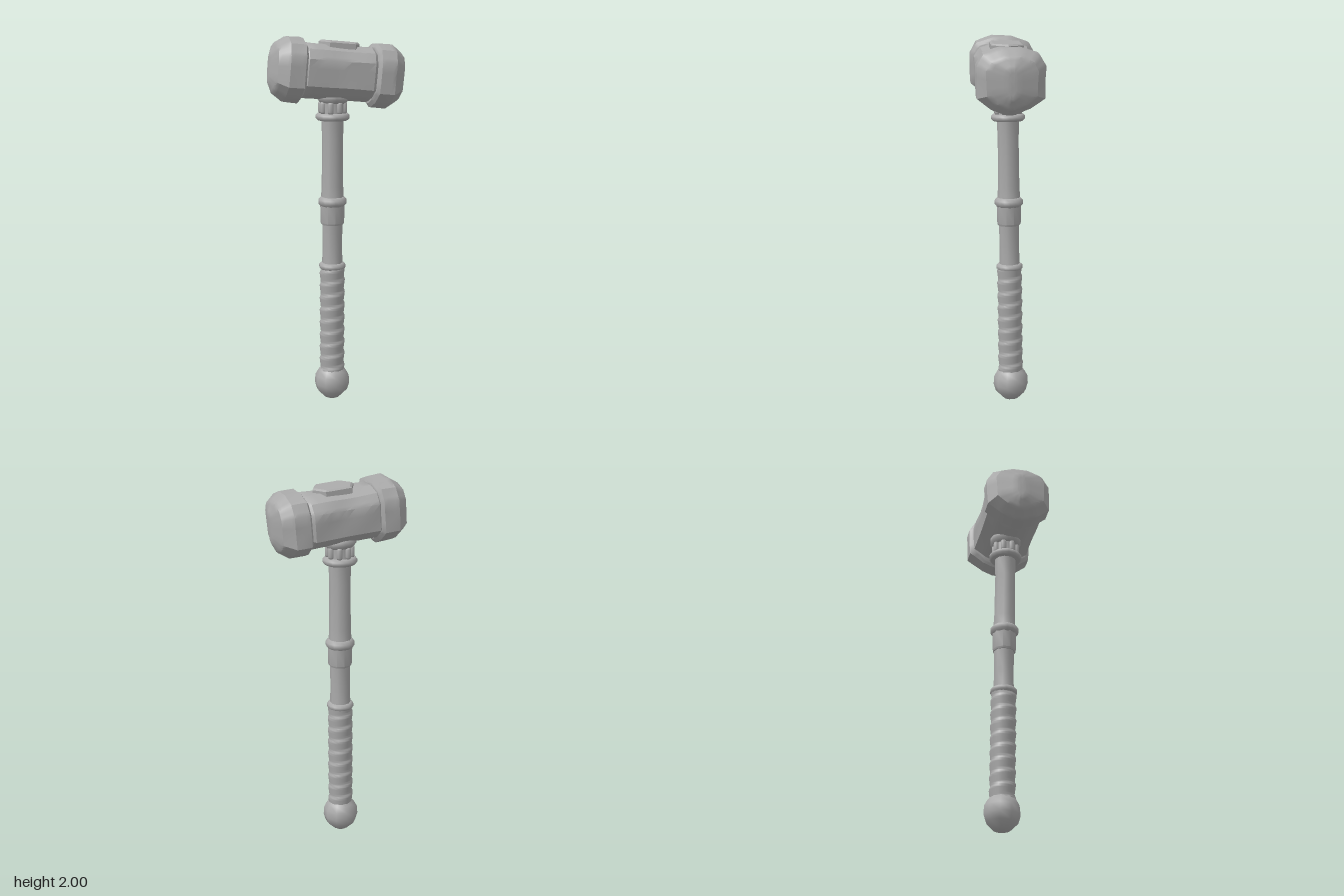
import * as THREE from 'three';
import { toCreasedNormals } from 'three/addons/utils/BufferGeometryUtils.js';

const stone = new THREE.MeshStandardMaterial({ color: 0xaaaaaa });
stone.name = 'grey stone';

function addMesh(parent, name, geometry, crease = 0.6) {
  const mesh = new THREE.Mesh(toCreasedNormals(geometry, crease), stone);
  mesh.name = name;
  parent.add(mesh);
  return mesh;
}

// Right half of the head's cross-section as [z, y], bottom to top
const half = [[0.12, -1], [0.56, -0.82], [0.97, -0.5], [1, 0.45], [0.8, 0.8], [0.3, 0.98]];
const section = [...half, ...half.map(([z, y]) => [-z, y]).reverse()];
const lerp = THREE.MathUtils.lerp;

// Insert evenly spaced steps between neighbouring entries
function subdivide(rows, steps, closed) {
  const out = [];
  const count = closed ? rows.length : rows.length - 1;
  for (let i = 0; i < count; i++) {
    const a = rows[i], b = rows[(i + 1) % rows.length];
    for (let s = 0; s < steps; s++) out.push(a.map((v, k) => lerp(v, b[k], s / steps)));
  }
  if (!closed) out.push(rows[rows.length - 1]);
  return out;
}

// Loft the section along x through rings of [x, halfDepth, halfHeight], with worn dents
function stoneLoft(rings, phase) {
  const ringRows = subdivide(rings, 4, false), loop = subdivide(section, 3, true);
  const positions = [], index = [], n = loop.length;
  ringRows.forEach(([x, hz, hy]) => loop.forEach(([z, y]) => {
    const px = x, py = y * hy, pz = z * hz;
    const dent = 1 + 0.018 * Math.sin(23 * px + 17 * py + phase) * Math.sin(19 * pz - 13 * py + 2 * phase);
    positions.push(px, py * dent, pz * dent);
  }));
  for (let i = 0; i < ringRows.length - 1; i++) {
    for (let j = 0; j < n; j++) {
      const a = i * n + j, b = i * n + (j + 1) % n, c = b + n, d = a + n;
      index.push(a, d, c, a, c, b);
    }
  }
  const geometry = new THREE.BufferGeometry();
  geometry.setAttribute('position', new THREE.Float32BufferAttribute(positions, 3));
  geometry.setIndex(index);
  return geometry;
}

function lathe(points, sides) {
  return new THREE.LatheGeometry(points.map(([r, y]) => new THREE.Vector2(r, y)), sides);
}

// Rounded band around the shaft
function ring(parent, name, y0, y1, r, sides = 16) {
  const c = (y1 - y0) * 0.3;
  return addMesh(parent, name, lathe([
    [0.03, y0], [r - c, y0], [r, y0 + c], [r, y1 - c], [r - c, y1], [0.03, y1]], sides), 0.9);
}

function buildHead() {
  const head = new THREE.Group();
  head.name = 'head';
  head.position.y = 1.805;
  head.rotation.z = -0.085;

  addMesh(head, 'headBody', stoneLoft([
    [-0.21, 0, 0], [-0.21, 0.135, 0.128], [-0.18, 0.157, 0.146], [0, 0.155, 0.143],
    [0.17, 0.159, 0.146], [0.2, 0.135, 0.128], [0.2, 0, 0]], 1));

  // Heavy striking ends with a chamfered, slightly ridged face
  const cap = [[0.185, 0, 0], [0.185, 0.152, 0.148], [0.2, 0.177, 0.17], [0.28, 0.176, 0.17],
    [0.335, 0.132, 0.132], [0.362, 0.025, 0.075], [0.364, 0, 0]];
  addMesh(head, 'leftStrikingEnd', stoneLoft(cap, 0.5));
  addMesh(head, 'rightStrikingEnd', stoneLoft(
    cap.map(([x, z, y]) => [-x, z, y]).reverse(), 2.6));

  // Six-sided plate on top
  const outline = new THREE.Shape([[-0.1, 0], [-0.063, -0.074], [0.063, -0.074],
    [0.1, 0], [0.063, 0.074], [-0.063, 0.074]].map(([x, y]) => new THREE.Vector2(x, y)));
  const plate = new THREE.ExtrudeGeometry(outline, {
    depth: 0.03, bevelEnabled: true, bevelThickness: 0.008, bevelSize: 0.01, bevelSegments: 1 });
  plate.rotateX(-Math.PI / 2);
  addMesh(head, 'topPlate', plate, 0.5).position.set(0.005, 0.125, 0);
  return head;
}

function buildHandle() {
  const handle = new THREE.Group();
  handle.name = 'handle';
  handle.position.set(-0.015, 0, -0.029);
  handle.rotation.x = 0.011;

  addMesh(handle, 'pommel', lathe([[0, 0], [0.042, 0.005], [0.084, 0.046], [0.096, 0.085],
    [0.093, 0.13], [0.076, 0.16], [0.06, 0.18], [0, 0.18]], 10), 0.75);

  // Leather grip wound in overlapping turns
  const rows = 100, profile = [];
  for (let i = 0; i <= rows; i++) profile.push([0.066, lerp(0.15, 0.75, i / rows)]);
  const grip = lathe(profile, 24), p = grip.attributes.position;
  for (let i = 0; i < p.count; i++) {
    const x = p.getX(i), y = p.getY(i), z = p.getZ(i);
    const turn = y / 0.07 + Math.atan2(z, x) / (2 * Math.PI);
    const t = turn - Math.floor(turn);
    const r = 0.0625 + 0.007 * (t < 0.8 ? t / 0.8 : (1 - t) / 0.2);
    const s = r / Math.hypot(x, z);
    p.setXYZ(i, x * s, y, z * s);
  }
  addMesh(handle, 'grip', grip, 1);

  ring(handle, 'gripCollar', 0.74, 0.776, 0.072);
  addMesh(handle, 'lowerShaft', lathe([[0.056, 0.76], [0.053, 0.87], [0.055, 1.0]], 10), 0.7);
  addMesh(handle, 'middleSleeve', lathe([[0.03, 0.99], [0.06, 0.99], [0.064, 1.0], [0.066, 1.1]], 10), 0.7);
  ring(handle, 'middleCollar', 1.09, 1.142, 0.077);
  addMesh(handle, 'upperShaft', lathe([[0.062, 1.13], [0.058, 1.2], [0.056, 1.45], [0.06, 1.57]], 10), 0.7);
  ring(handle, 'neckCollar', 1.555, 1.592, 0.091);
  addMesh(handle, 'neck', lathe([[0.062, 1.58], [0.062, 1.66]], 16));

  // Short studs around the neck
  for (let i = 0; i < 8; i++) {
    const a = (i + 0.5) / 8 * Math.PI * 2;
    const stud = addMesh(handle, 'neckStud', new THREE.CapsuleGeometry(0.016, 0.04, 3, 8), 1);
    stud.position.set(Math.cos(a) * 0.062, 1.622, Math.sin(a) * 0.062);
  }
  const top = ring(handle, 'headCollar', -0.022, 0.04, 0.086);
  top.position.y = 1.668;
  top.rotation.z = -0.06;
  return handle;
}

export function createModel() {
  const model = new THREE.Group();
  model.name = 'warHammer';
  model.add(buildHead(), buildHandle());
  return model;
}
